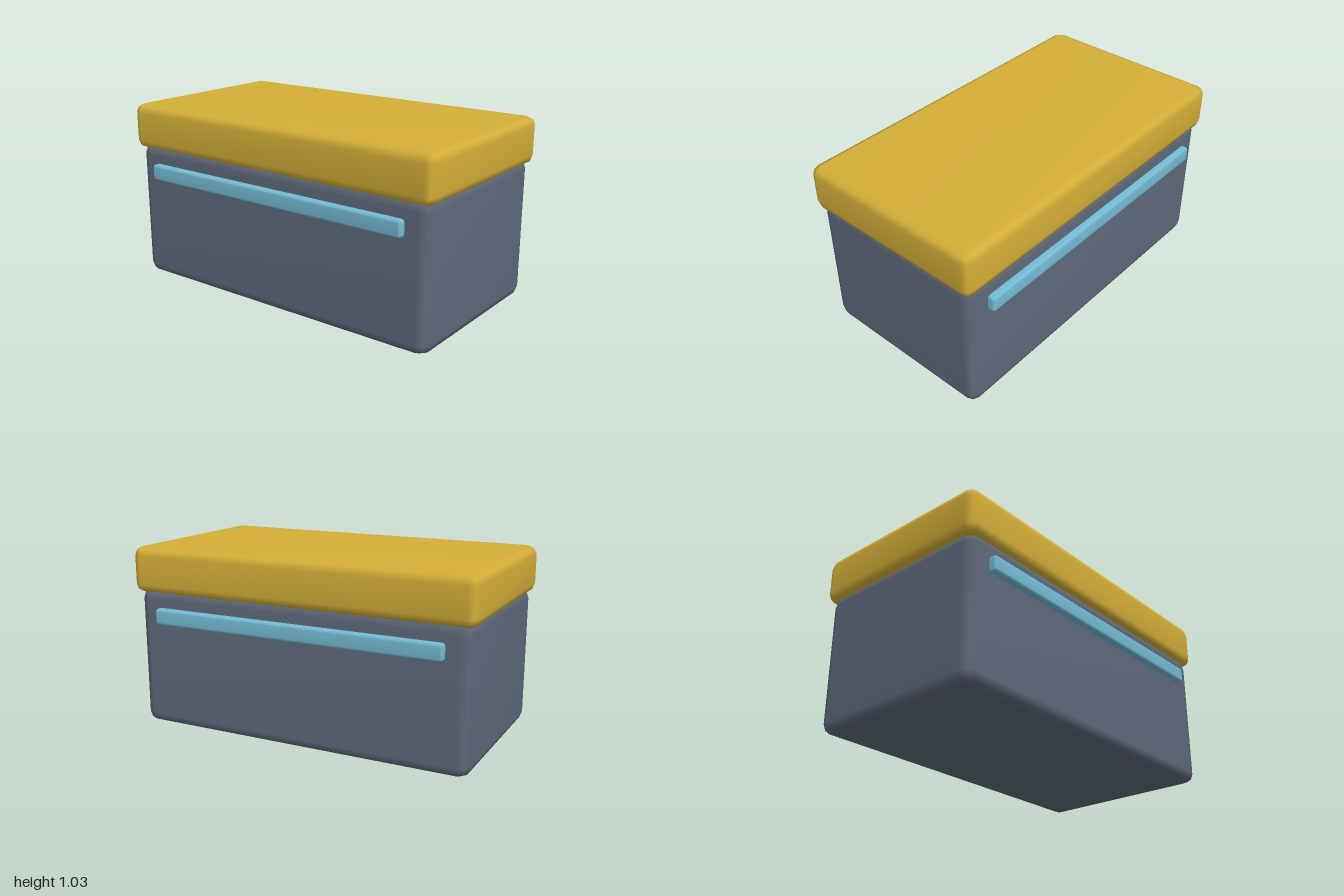
import * as THREE from 'three';
import { RoundedBoxGeometry } from 'three/addons/geometries/RoundedBoxGeometry.js';
import { mergeVertices } from 'three/addons/utils/BufferGeometryUtils.js';

const material = (name, color) => {
  const m = new THREE.MeshStandardMaterial({ color });
  m.name = name;
  return m;
};

// Box with a two-step bevel, shaded smoothly across all its edges
function softBox(name, mat, [w, h, d], radius, [x, y, z]) {
  const geometry = new RoundedBoxGeometry(w, h, d, 1, radius);
  geometry.deleteAttribute('normal');
  geometry.deleteAttribute('uv');
  const smooth = mergeVertices(geometry, 1e-4);
  smooth.clearGroups();
  smooth.computeVertexNormals();
  const mesh = new THREE.Mesh(smooth, mat);
  mesh.name = name;
  mesh.position.set(x, y, z);
  return mesh;
}

export function createModel() {
  const slate = material('slate grey', 0x5e697a);
  const gold = material('gold', 0xd4af37);
  const blue = material('light blue', 0x74bcd4);

  const group = new THREE.Group();
  group.name = 'chest';

  // Body and overhanging lid
  group.add(softBox('body', slate, [1.95, 0.795, 1.05], 0.06, [0, 0.3975, 0]));
  group.add(softBox('lid', gold, [2, 0.26, 1.094], 0.05, [0, 0.896, 0]));

  // Trim strips on the front and back
  for (const [name, side] of [['frontTrim', 1], ['backTrim', -1]]) {
    group.add(softBox(name, blue, [1.69, 0.09, 0.075], 0.015, [0, 0.645, side * 0.526]));
  }
  return group;
}
